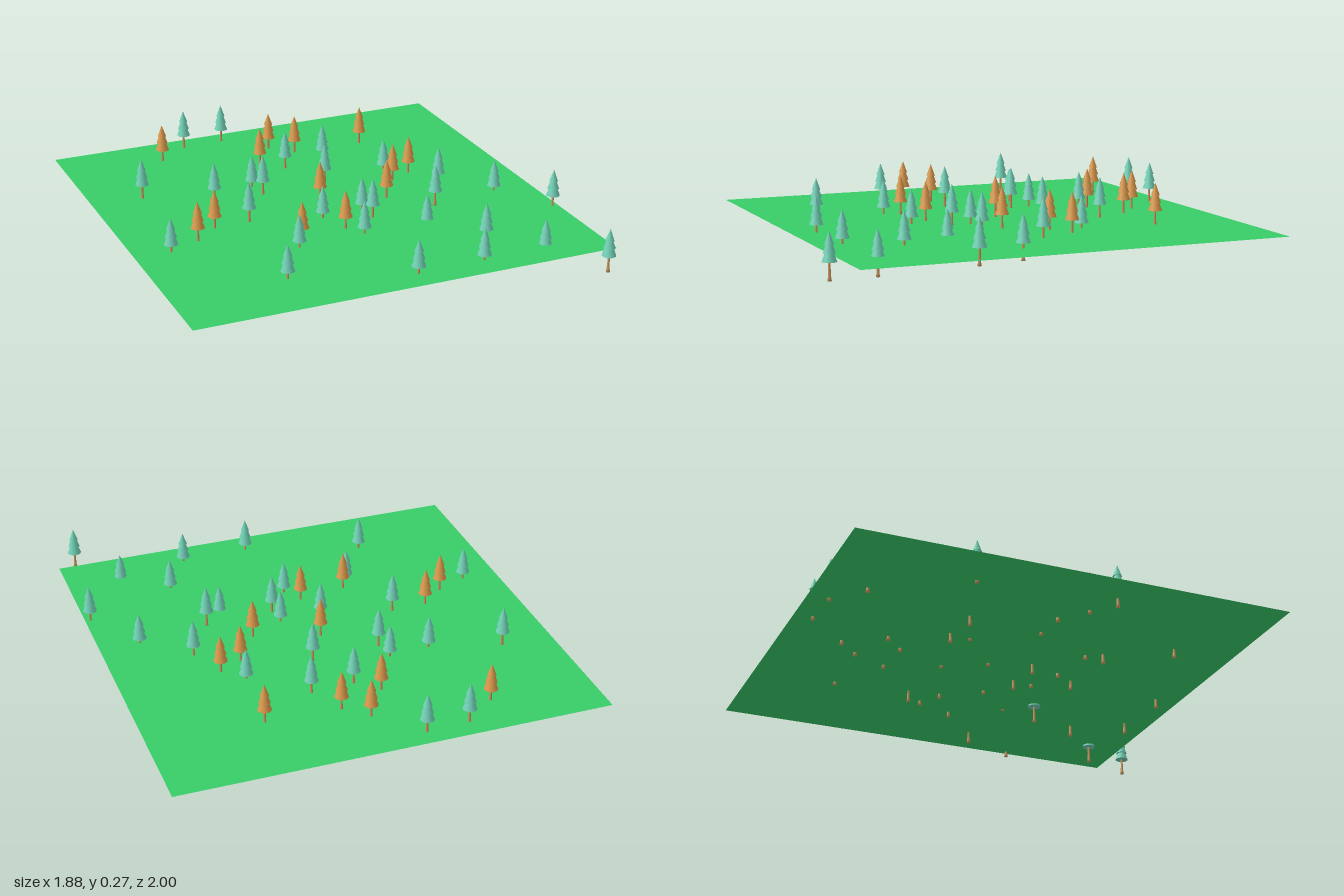
import * as THREE from 'three';

const mat = (color, extra = {}) => new THREE.MeshStandardMaterial({ color, ...extra });

// x, z and tip height of every tree
const TEAL = [
  [-0.34, -0.91, 0.265], [-0.15, -0.92, 0.262], [0, -0.485, 0.262], [0.19, -0.495, 0.262],
  [-0.71, -0.415, 0.267], [-0.405, -0.325, 0.233], [-0.22, -0.34, 0.235], [-0.205, -0.245, 0.267],
  [0.1, -0.26, 0.267], [0.41, -0.3, 0.226], [0.565, -0.05, 0.252], [-0.37, 0.01, 0.266],
  [-0.065, 0.1, 0.232], [0.125, 0.09, 0.235], [0.135, 0.18, 0.262], [0.44, 0.17, 0.271],
  [0.755, 0.125, 0.226], [-0.78, 0.17, 0.237], [0.345, 0.285, 0.195], [-0.275, 0.34, 0.233],
  [0.03, 0.325, 0.235], [0.91, 0.38, 0.251],
];
const TEAL_FRONT = [
  [0.5, 0.535, 0.226], [-0.435, 0.6, 0.237], [0.07, 0.765, 0.235],
  [0.375, 0.755, 0.226], [0.685, 0.715, 0.193], [0.84, 0.965, 0.224],
];
const ORANGE = [
  [-0.485, -0.795, 0.257], [0.02, -0.74, 0.257], [0.115, -0.65, 0.262], [-0.09, -0.57, 0.26],
  [0.44, -0.635, 0.262], [0.495, -0.215, 0.257], [0.39, -0.16, 0.257], [0, -0.08, 0.266],
  [0.28, 0.01, 0.262], [-0.53, 0.015, 0.257], [-0.64, 0.11, 0.262], [-0.235, 0.275, 0.258],
  [-0.02, 0.24, 0.257],
];
const HEIGHT = 0.193;

// Three overlapping tiers: radius, bottom, top radius, top
const TIERS = [[0.03, 0.074, 0.012, 0.122], [0.025, 0.107, 0.009, 0.153], [0.019, 0.14, 0, HEIGHT]];

export function createModel() {
  const model = new THREE.Group();

  // Flat meadow
  const ground = new THREE.Mesh(
    new THREE.PlaneGeometry(1.875, 1.875).rotateX(-Math.PI / 2),
    mat(0x38cc68, { side: THREE.DoubleSide })
  );
  ground.name = 'ground';
  ground.position.set(-0.003, 0.083, -0.0625);
  model.add(ground);

  // Slender trunk flaring at the foot
  const trunkProfile = [[0, 0], [0.009, 0], [0.0065, 0.012], [0.005, 0.04], [0.0045, 0.085]];
  const trunkGeo = new THREE.LatheGeometry(trunkProfile.map(p => new THREE.Vector2(...p)), 12);
  const tierGeos = TIERS.map(([r, y0, rTop, y1]) =>
    new THREE.CylinderGeometry(rTop, r, y1 - y0, 16).translate(0, (y0 + y1) / 2, 0));
  const trunkMat = mat(0xc6955f);

  const plant = (spots, color, name) => {
    const leafMat = mat(color);
    for (const [x, z, tip] of spots) {
      const tree = new THREE.Group();
      tree.name = name;
      tree.position.set(x, tip - HEIGHT, z);
      const trunk = new THREE.Mesh(trunkGeo, trunkMat);
      trunk.name = 'trunk';
      tree.add(trunk);
      for (const geo of tierGeos) {
        const tier = new THREE.Mesh(geo, leafMat);
        tier.name = 'foliageTier';
        tree.add(tier);
      }
      model.add(tree);
    }
  };
  plant([...TEAL, ...TEAL_FRONT], 0x6fcfb4, 'tealTree');
  plant(ORANGE, 0xd8974a, 'orangeTree');
  return model;
}
